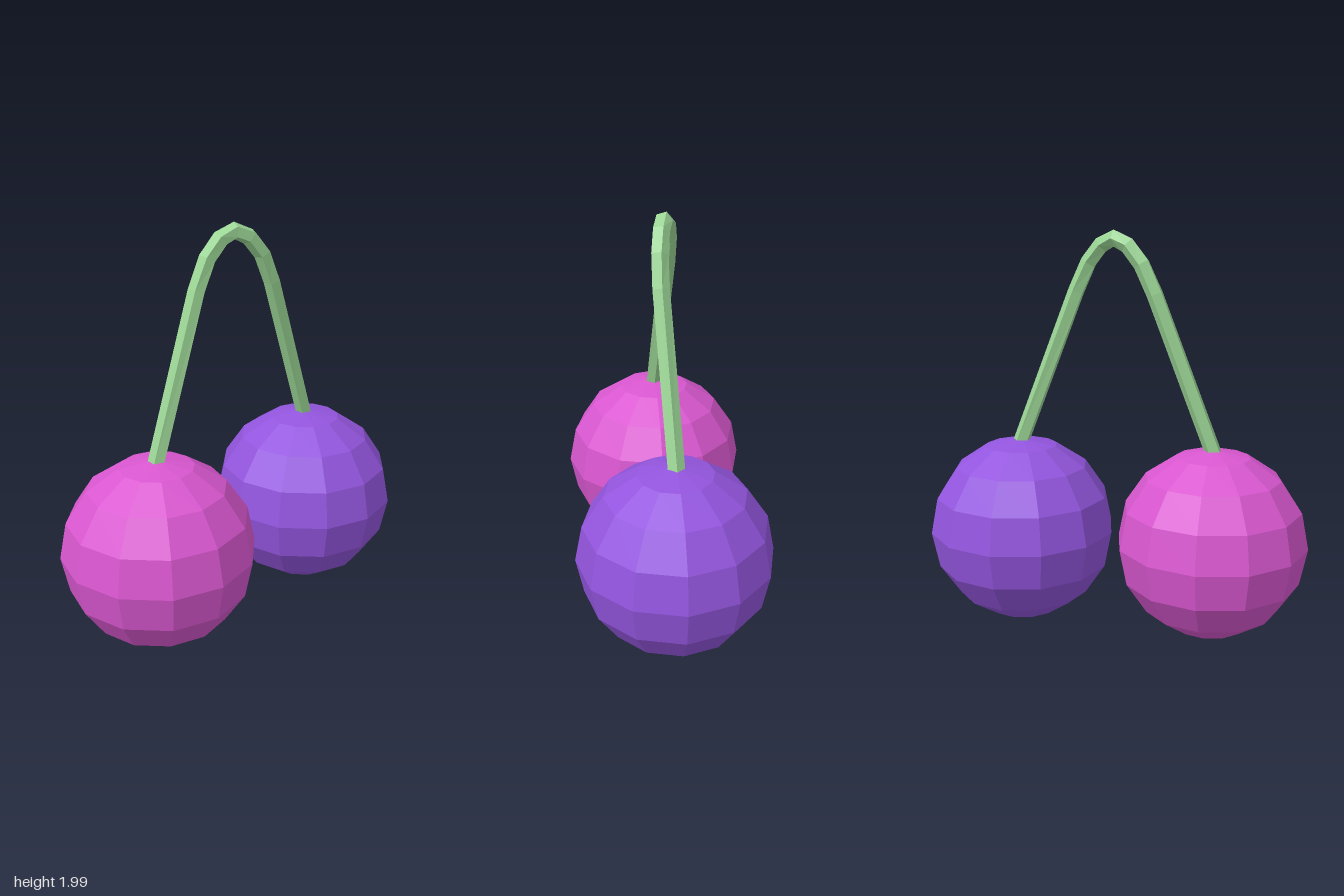
import * as THREE from 'three';

const material = (color) => new THREE.MeshStandardMaterial({ color, flatShading: true });

// Sweeps a five-sided section along points that lie close to the yz plane
function sweepStem(points, radius, sides, twist) {
  const positions = [];
  const index = [];
  const last = points.length - 1;
  points.forEach((p, i) => {
    const t = points[Math.min(i + 1, last)].clone().sub(points[Math.max(i - 1, 0)]).normalize();
    const across = new THREE.Vector3(1, 0, 0);
    across.addScaledVector(t, -across.dot(t)).normalize();
    const outward = new THREE.Vector3().crossVectors(t, across).negate();
    for (let j = 0; j < sides; j++) {
      const a = Math.PI / 2 + (j / sides) * Math.PI * 2 + twist * (1 - i / last);
      const v = p.clone()
        .addScaledVector(across, Math.cos(a) * radius)
        .addScaledVector(outward, Math.sin(a) * radius);
      positions.push(v.x, v.y, v.z);
      if (i < last) {
        const k = (j + 1) % sides;
        const A = i * sides + j, B = i * sides + k;
        const D = A + sides, C = B + sides;
        index.push(A, D, B, B, D, C);
      }
    }
  });
  // End caps
  for (let j = 1; j < sides - 1; j++) {
    const e = last * sides;
    index.push(0, j, j + 1, e, e + j + 1, e + j);
  }
  const geometry = new THREE.BufferGeometry();
  geometry.setAttribute('position', new THREE.Float32BufferAttribute(positions, 3));
  geometry.setIndex(index);
  geometry.computeVertexNormals();
  return geometry;
}

export function createModel() {
  const model = new THREE.Group();

  // Two faceted fruits, one in front of the other
  const fruitGeometry = new THREE.SphereGeometry(0.475, 12, 8);
  for (const [name, color, z] of [['frontFruit', 0xd957d0, 0.495], ['backFruit', 0x9355de, -0.495]]) {
    const fruit = new THREE.Mesh(fruitGeometry, material(color));
    fruit.name = name;
    fruit.position.set(0, 0.478, z);
    model.add(fruit);
  }

  // Arched stem: half the path, then its half-turn about the vertical axis
  const half = [
    [0.003, 0.91, 0.505],
    [-0.037, 1.7, 0.205],
    [-0.036, 1.84, 0.14],
    [-0.022, 1.925, 0.07],
  ];
  const path = [
    ...half,
    [0, 1.957, 0],
    ...half.map(([x, y, z]) => [-x, y, -z]).reverse(),
  ].map((p) => new THREE.Vector3(...p));
  const stem = new THREE.Mesh(sweepStem(path, 0.042, 5, Math.PI / 5), material(0x9ad494));
  stem.name = 'stem';
  model.add(stem);

  return model;
}
